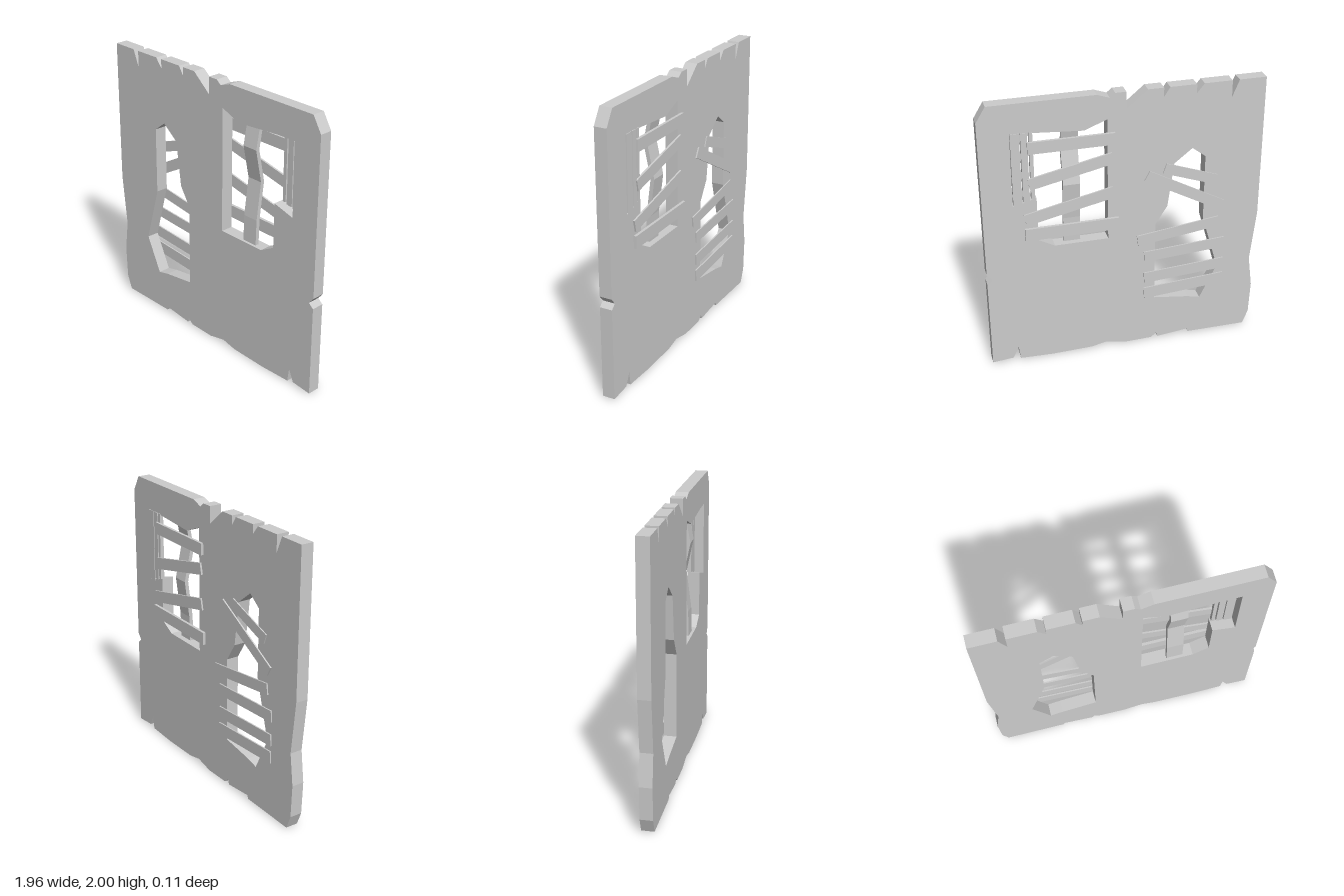
import * as THREE from 'three';

const BACK = -0.035, FRONT = 0.055;

export function createModel() {
  const group = new THREE.Group();
  const material = new THREE.MeshStandardMaterial({ color: 0xcccccc, flatShading: true });
  const points = list => list.map(([x, y]) => new THREE.Vector2(x, y));

  function add(name, geometry, x = 0, y = 0, z = 0) {
    const mesh = new THREE.Mesh(geometry, material);
    mesh.name = name;
    mesh.position.set(x, y, z);
    group.add(mesh);
    return mesh;
  }

  // Wall slab with chipped edges, clockwise from the top left
  const wall = new THREE.Shape(points([
    [-0.98, 2], [-0.79, 2], [-0.74, 1.88], [-0.74, 2], [-0.545, 2], [-0.492, 1.935], [-0.492, 2],
    [-0.307, 2], [-0.265, 1.935], [-0.265, 2], [-0.155, 2], [-0.01, 1.878], [-0.01, 2], [0.065, 2],
    [0.102, 1.97], [0.188, 2], [0.913, 2], [0.98, 1.89], [0.98, 0.75], [0.943, 0.705], [0.98, 0.673],
    [0.98, 0.008], [0.83, 0.022], [0.79, 0.11], [0.777, 0.008], [0.54, 0], [0.25, 0.008], [0.14, 0.033],
    [0, 0.003], [-0.2, 0.008], [-0.24, 0.043], [-0.25, 0.008], [-0.475, 0.033], [-0.485, 0.008],
    [-0.92, 0.008], [-0.96, 0.11], [-0.97, 0.35], [-0.94, 0.58], [-0.98, 0.96],
  ]));

  // Broken openings, counter-clockwise so their inner walls face into the gap
  wall.holes.push(
    new THREE.Path(points([
      [-0.57, 0.975], [-0.69, 0.558], [-0.567, 0.303], [-0.475, 0.325], [-0.22, 0.36],
      [-0.22, 0.975], [-0.305, 1.11], [-0.348, 1.435], [-0.475, 1.535], [-0.57, 1.462],
    ])),
    new THREE.Path(points([
      [0.12, 0.915], [0.497, 0.915], [0.61, 0.977], [0.61, 1.303], [0.773, 1.258],
      [0.77, 1.785], [0.62, 1.783], [0.275, 1.758], [0.12, 1.82],
    ])),
  );
  add('wall', new THREE.ExtrudeGeometry(wall, { depth: FRONT - BACK, bevelEnabled: false }), 0, 0, BACK);

  // Planks nailed across the back: x1, y1, x2, y2 of the centre line, width, thickness
  const planks = {
    rightOpeningPlank: [
      [0.07, 1.682, 0.66, 1.682, 0.085, 0.02],
      [0.085, 1.538, 0.66, 1.413, 0.083, 0.014],
      [0.08, 1.28, 0.695, 1.146, 0.085, 0.012],
      [0.045, 1.035, 0.7, 1.035, 0.09, 0.02],
    ],
    leftOpeningPlank: [
      [-0.65, 1.276, -0.28, 1.408, 0.075, 0.008],
      [-0.7, 1.068, -0.155, 1.368, 0.078, 0.01],
      [-0.685, 0.938, -0.09, 0.862, 0.08, 0.01],
      [-0.735, 0.759, -0.14, 0.722, 0.082, 0.01],
      [-0.735, 0.584, -0.14, 0.546, 0.084, 0.01],
      [-0.735, 0.456, -0.14, 0.416, 0.088, 0.01],
    ],
  };
  for (const [name, list] of Object.entries(planks)) {
    list.forEach(([x1, y1, x2, y2, width, thick], i) => {
      const geometry = new THREE.BoxGeometry(Math.hypot(x2 - x1, y2 - y1), width, thick);
      const plank = add(name + (i + 1), geometry, (x1 + x2) / 2, (y1 + y2) / 2, BACK - thick / 2);
      plank.rotation.z = Math.atan2(y2 - y1, x2 - x1);
    });
  }

  // Bent post: side profile (z, y) extruded across x
  const bends = [[0.015, 1.765], [0.045, 1.61], [-0.005, 1.37], [0.03, 1.1], [0.035, 0.915]];
  const side = [...bends, ...bends.map(([z, y]) => [z - 0.028, y]).reverse()];
  const post = new THREE.ExtrudeGeometry(new THREE.Shape(points(side)), { depth: 0.117, bevelEnabled: false });
  post.rotateY(-Math.PI / 2);
  add('bentPost', post, 0.427);

  // Upright bars at the back of the side bay: x1, x2, bottom
  [
    [0.62, 0.645, 1.3],
    [0.655, 0.7, 1.285],
    [0.707, 0.768, 1.265],
  ].forEach(([x1, x2, bottom], i) => {
    const height = 1.79 - bottom;
    add('uprightBar' + (i + 1), new THREE.BoxGeometry(x2 - x1, height, 0.028), (x1 + x2) / 2, bottom + height / 2, -0.026);
  });

  return group;
}
